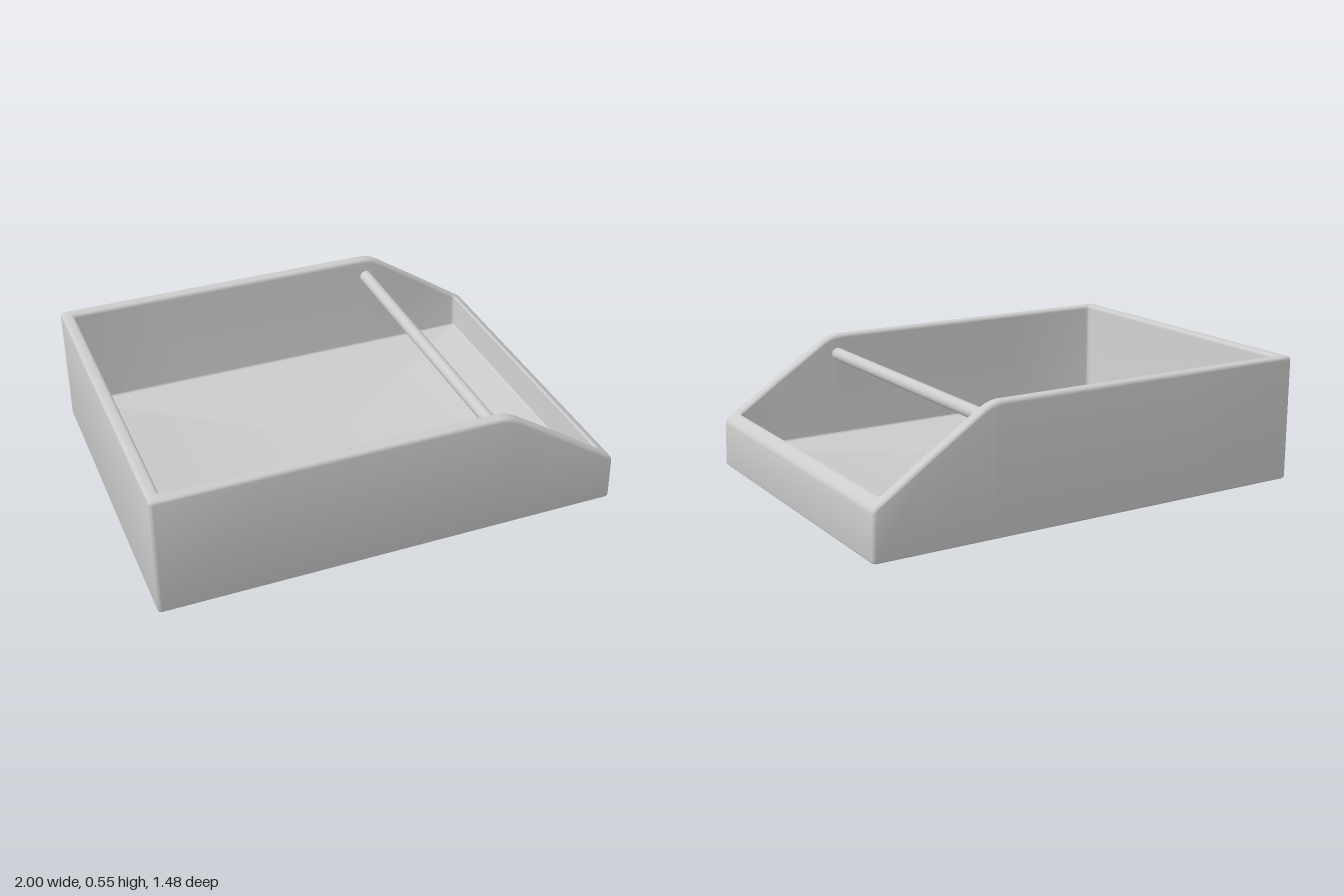
import * as THREE from 'three';
import { toCreasedNormals } from 'three/addons/utils/BufferGeometryUtils.js';

const HX = 1, HZ = 0.738, TOP = 0.545, WALL = 0.055, FLOOR = 0.08;
const BEND = 0.485, SLOPE = 0.65, SOFT = 0.045, CORNER = 0.015, RIM = 0.017;

// Height of the rim: level, then a softened bend down to the low end
function rimHeight(x) {
  const d = x - BEND;
  if (d <= -SOFT) return TOP;
  if (d >= SOFT) return TOP - SLOPE * d;
  return TOP - SLOPE * (d + SOFT) ** 2 / (4 * SOFT);
}

// Rounded rectangle, with extra stations along the long sides for the bend
function outline(inset) {
  const pts = [], hx = HX - inset - CORNER, hz = HZ - inset - CORNER;
  const stations = [-0.5, 0];
  for (let i = 0; i <= 6; i++) stations.push(BEND + SOFT * (i / 3 - 1));
  stations.push(0.75);
  const corner = (sx, sz, start) => {
    for (let i = 0; i <= 4; i++) {
      const a = (start + i / 4) * Math.PI / 2;
      pts.push([sx * hx + CORNER * Math.cos(a), sz * hz + CORNER * Math.sin(a)]);
    }
  };
  corner(1, 1, 0);
  [...stations].reverse().forEach(x => pts.push([x, HZ - inset]));
  corner(-1, 1, 1);
  corner(-1, -1, 2);
  stations.forEach(x => pts.push([x, inset - HZ]));
  corner(1, -1, 3);
  return pts;
}

// Open tray lofted from the underside, over the rim and down to the floor
function trayGeometry() {
  const rings = [];
  const add = (inset, height) => rings.push(outline(inset).map(([x, z]) => {
    const y = height(x);
    return [x > 0.9 ? x - 0.03 * y : x, y, z];
  }));
  const arc = (n, fn) => { for (let i = 0; i <= n; i++) fn(i / n * Math.PI / 2); };
  arc(3, a => add(0.012 * (1 - Math.sin(a)), () => 0.012 * (1 - Math.cos(a))));
  arc(4, a => add(RIM * (1 - Math.cos(a)), x => rimHeight(x) - RIM * (1 - Math.sin(a))));
  arc(4, a => add(WALL - RIM * (1 - Math.sin(a)), x => rimHeight(x) - RIM * (1 - Math.cos(a))));
  arc(3, a => add(WALL + 0.012 * (1 - Math.cos(a)), () => FLOOR + 0.012 * (1 - Math.sin(a))));

  const n = rings[0].length, index = [];
  const positions = rings.flat(2);
  const bottom = rings.length * n, floor = bottom + 1, last = (rings.length - 1) * n;
  positions.push(0, 0, 0, 0, FLOOR, 0);
  for (let j = 0; j < n; j++) {
    const k = (j + 1) % n;
    for (let i = 0; i < rings.length - 1; i++) {
      const a = i * n + j, b = i * n + k;
      index.push(a, a + n, b, b, a + n, b + n);
    }
    index.push(bottom, j, k, floor, last + k, last + j);
  }
  const g = new THREE.BufferGeometry();
  g.setAttribute('position', new THREE.Float32BufferAttribute(positions, 3));
  g.setIndex(index);
  return toCreasedNormals(g, 0.5);
}

export function createModel() {
  const group = new THREE.Group();
  group.name = 'openBin';
  const material = new THREE.MeshStandardMaterial({ color: 0xcccccc });

  const tray = new THREE.Mesh(trayGeometry(), material);
  tray.name = 'tray';

  // Round bar spanning the two side walls
  const bar = new THREE.Mesh(
    new THREE.CylinderGeometry(0.028, 0.028, 2 * (HZ - WALL) + 0.02, 32), material);
  bar.name = 'crossBar';
  bar.rotation.x = Math.PI / 2;
  bar.position.set(0.457, 0.457, 0);

  group.add(tray, bar);
  return group;
}
